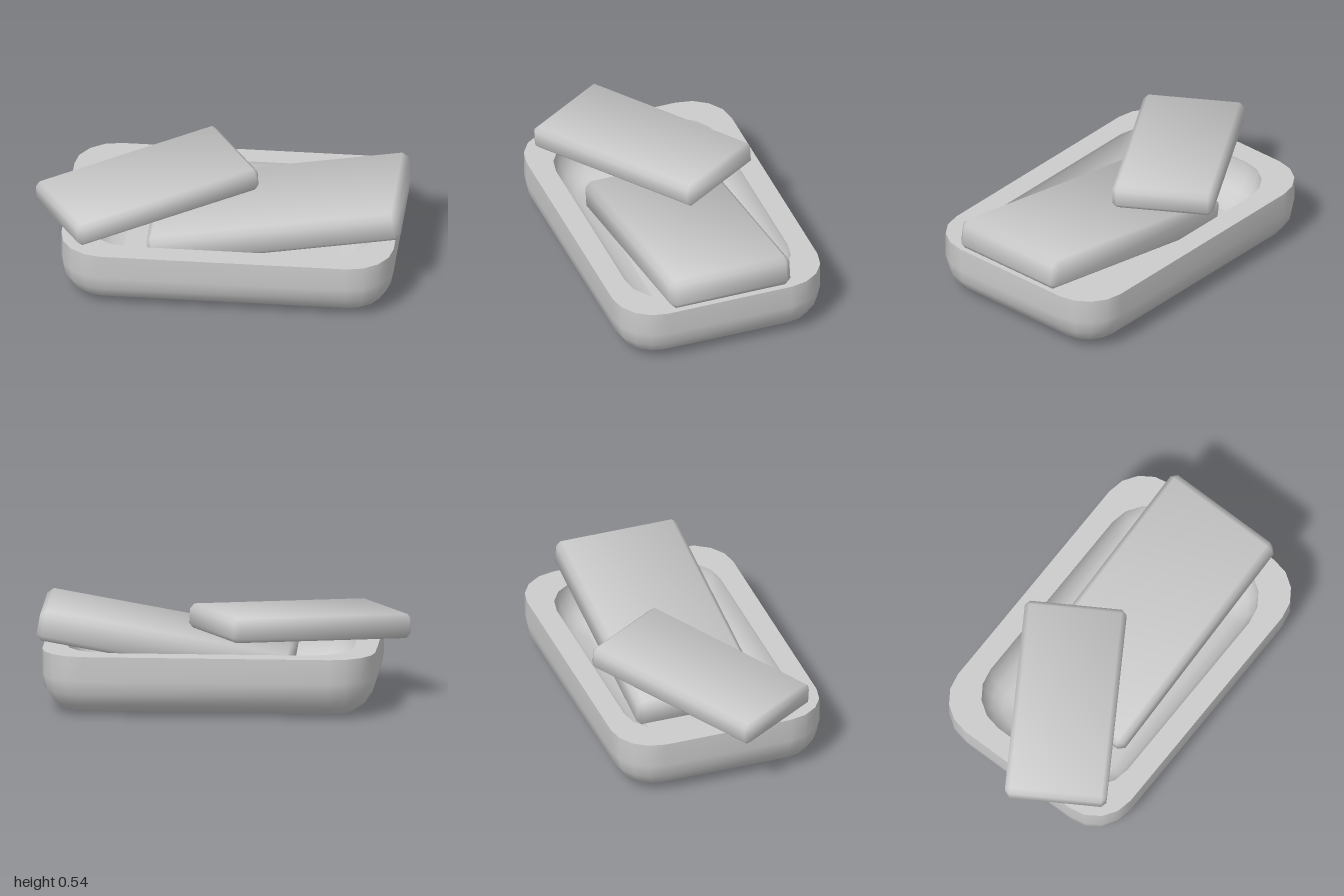
import * as THREE from 'three';
import { mergeVertices } from 'three/addons/utils/BufferGeometryUtils.js';
import { ConvexGeometry } from 'three/addons/geometries/ConvexGeometry.js';

const material = new THREE.MeshStandardMaterial({ color: 0xcccccc });
const CORNER_SEGS = 4;

// Rounded rectangle loop at height y, as a flat list of coordinates
function ring([hx, hz, r, y]) {
  const pts = [];
  for (let q = 0; q < 4; q++) {
    const sx = q === 0 || q === 3 ? 1 : -1;
    const sz = q < 2 ? 1 : -1;
    for (let i = 0; i <= CORNER_SEGS; i++) {
      const a = (q + i / CORNER_SEGS) * Math.PI / 2;
      pts.push(sx * (hx - r) + r * Math.cos(a), y, sz * (hz - r) + r * Math.sin(a));
    }
  }
  return pts;
}

// Smooth skin over a series of loops
function loft(name, sections) {
  const n = 4 * (CORNER_SEGS + 1), index = [];
  for (let k = 0; k < sections.length - 1; k++) {
    for (let j = 0; j < n; j++) {
      const a = k * n + j, b = k * n + (j + 1) % n;
      index.push(a, a + n, b, b, a + n, b + n);
    }
  }
  return skin(name, sections.flatMap(ring), index);
}

// Flat face filling one loop
function cap(name, section, facesUp) {
  const index = [];
  for (let j = 1; j < 4 * (CORNER_SEGS + 1) - 1; j++) {
    index.push(0, ...(facesUp ? [j + 1, j] : [j, j + 1]));
  }
  return skin(name, ring(section), index);
}

function skin(name, positions, index) {
  const geo = new THREE.BufferGeometry();
  geo.setAttribute('position', new THREE.Float32BufferAttribute(positions, 3));
  geo.setIndex(index);
  geo.computeVertexNormals();
  const mesh = new THREE.Mesh(geo, material);
  mesh.name = name;
  return mesh;
}

// Quarter-round between wall and floor, listed from floor to wall
function quarterRound(hx, hz, corner, radius, floorY) {
  const out = [];
  for (let i = 0; i <= 4; i++) {
    const a = i / 4 * Math.PI / 2;
    const inset = radius * (1 - Math.sin(a));
    out.push([hx - inset, hz - inset, corner - inset, floorY + radius * (1 - Math.cos(a))]);
  }
  return out;
}

function createTray() {
  const tray = new THREE.Group();
  tray.name = 'tray';
  const top = 0.335, floor = 0.12;
  const outerRim = [0.9, 0.59, 0.235, top];
  const innerRim = [0.775, 0.468, 0.24, top];
  const footEdge = [0.455, 0.245, 0.02, 0];
  const footFloor = [0.455, 0.245, 0.02, 0.015];
  const outer = quarterRound(0.9, 0.59, 0.235, 0.2, 0);
  const inner = quarterRound(0.775, 0.468, 0.24, 0.19, floor);
  tray.add(
    cap('undersideRecess', footFloor, false),
    loft('recessEdge', [footFloor, footEdge]),
    loft('underside', [footEdge, outer[0]]),
    loft('outerShell', [...outer, outerRim]),
    loft('rim', [outerRim, innerRim]),
    loft('innerShell', [innerRim, ...inner.reverse()]),
    cap('trayFloor', inner[4], true)
  );
  tray.position.x = 0.065;
  return tray;
}

// Block with a single bevel on every edge and pillow-soft normals
function createSlab(name, length, thickness, width, bevel) {
  const half = [length / 2, thickness / 2, width / 2];
  const points = [];
  for (let axis = 0; axis < 3; axis++) {
    for (let c = 0; c < 8; c++) {
      const p = half.map((h, i) => (c >> i & 1 ? 1 : -1) * (i === axis ? h : h - bevel));
      points.push(new THREE.Vector3(...p));
    }
  }
  let geo = new ConvexGeometry(points);
  geo.deleteAttribute('normal');
  geo = mergeVertices(geo);
  const pos = geo.attributes.position, normals = [];
  for (let v = 0; v < pos.count; v++) {
    for (let i = 0; i < 3; i++) {
      const c = pos.getComponent(v, i);
      normals.push(Math.sign(c) * (Math.abs(c) > half[i] - bevel / 2 ? 0.87 : 0.35));
    }
  }
  geo.setAttribute('normal', new THREE.Float32BufferAttribute(normals, 3));
  const mesh = new THREE.Mesh(geo, material);
  mesh.name = name;
  return mesh;
}

export function createModel() {
  const model = new THREE.Group();
  model.name = 'trayWithSlabs';
  model.add(createTray());

  // Large slab leaning from the tray floor over the left rim
  const large = createSlab('largeSlab', 1.38, 0.168, 0.69, 0.03);
  large.position.set(0.31, 0.338, 0);
  large.rotation.z = 0.174;

  // Small slab lying diagonally across the top
  const small = createSlab('smallSlab', 1.09, 0.132, 0.55, 0.026);
  small.position.set(-0.406, 0.435, -0.005);
  small.rotation.set(0, 0.557, 0.066);

  model.add(large, small);
  return model;
}
